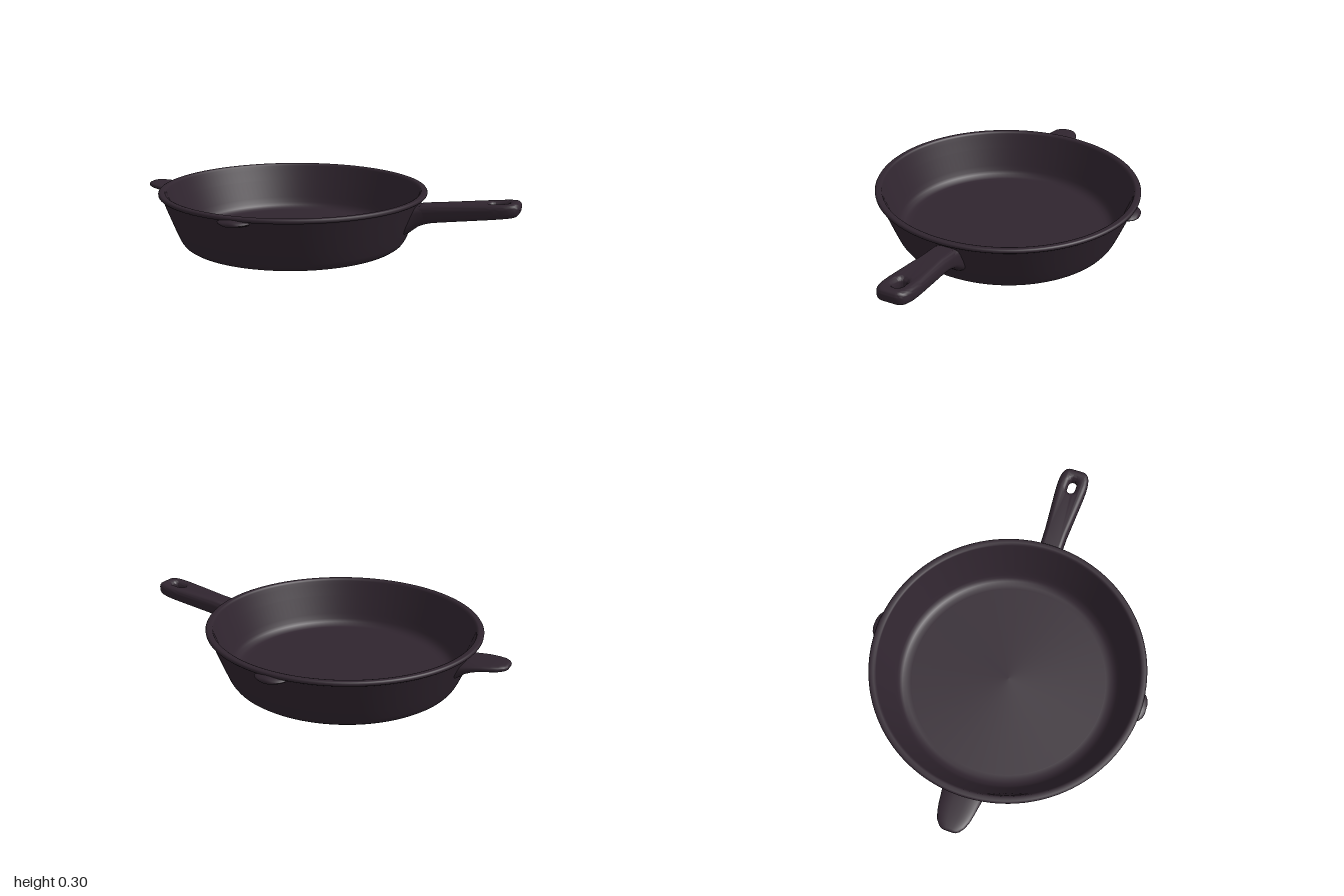
import * as THREE from 'three';
import { toCreasedNormals } from 'three/addons/utils/BufferGeometryUtils.js';

const castIron = new THREE.MeshStandardMaterial({ color: 0x30252f });
castIron.name = 'castIron';

const wallRadius = (y) => 0.575 + 0.36 * y;

function addPart(parent, name, geometry, angle = 0) {
  const mesh = new THREE.Mesh(geometry, castIron);
  mesh.name = name;
  mesh.rotation.y = angle;
  parent.add(mesh);
}

// Loft pointing away from the pan centre; sections are [radius, bottom, top, halfWidth].
// Points that would fall inside the pan are held just under the wall surface.
function loft(sections, power = 0.75, sides = 32) {
  const pos = [], index = [];
  const soft = (v) => Math.sign(v) * Math.abs(v) ** power;
  for (const [r, bottom, top, halfWidth] of sections) {
    for (let j = 0; j < sides; j++) {
      const a = (j / sides) * Math.PI * 2;
      const z = halfWidth * soft(Math.cos(a));
      const y = (top + bottom) / 2 + ((top - bottom) / 2) * soft(Math.sin(a));
      const wall = Math.sqrt(wallRadius(y) ** 2 - z * z) - 0.008;
      pos.push(Math.max(r, wall), y, z);
    }
  }
  const last = sections.length - 1;
  for (let i = 0; i < last; i++) {
    for (let j = 0; j < sides; j++) {
      const k = (j + 1) % sides;
      const a = i * sides + j, b = i * sides + k;
      index.push(a, a + sides, b, b, a + sides, b + sides);
    }
  }
  const [r, bottom, top] = sections[last];
  pos.push(r, (top + bottom) / 2, 0);
  const centre = (last + 1) * sides;
  for (let j = 0; j < sides; j++) {
    index.push(centre, last * sides + ((j + 1) % sides), last * sides + j);
  }
  const g = new THREE.BufferGeometry();
  g.setAttribute('position', new THREE.Float32BufferAttribute(pos, 3));
  g.setIndex(index);
  g.computeVertexNormals();
  return g;
}

// Bowl: outer base, flared wall, rolled rim, inner wall, floor
function bowlGeometry() {
  const profile = [
    [0, 0], [0.52, 0], [0.54, 0.001], [0.556, 0.006], [0.57, 0.016], [0.58, 0.03], [0.588, 0.046],
    [0.61, 0.1], [0.648, 0.2], [0.665, 0.25], [0.669, 0.257],
    [0.679, 0.259], [0.684, 0.264], [0.685, 0.272], [0.681, 0.278], [0.675, 0.28],
    [0.66, 0.28], [0.652, 0.277], [0.648, 0.268], [0.642, 0.25],
    [0.62, 0.19], [0.585, 0.095], [0.574, 0.066], [0.565, 0.05], [0.55, 0.037], [0.53, 0.031],
    [0.505, 0.03], [0, 0.03],
  ].map(([x, y]) => new THREE.Vector2(x, y));
  return new THREE.LatheGeometry(profile, 128);
}

// Long handle: rounded plate with a hanging hole, sloped and tapered along its length
function handleGeometry() {
  const s = new THREE.Shape();
  s.moveTo(0.66, -0.06);
  s.lineTo(0.78, -0.062);
  s.lineTo(1.0, -0.078);
  s.bezierCurveTo(1.09, -0.084, 1.15, -0.08, 1.15, -0.03);
  s.lineTo(1.15, 0.03);
  s.bezierCurveTo(1.15, 0.08, 1.09, 0.084, 1.0, 0.078);
  s.lineTo(0.78, 0.062);
  s.lineTo(0.66, 0.06);
  s.closePath();
  const hole = new THREE.Path();
  hole.absarc(1.035, 0, 0.022, Math.PI / 2, Math.PI * 1.5, false);
  hole.absarc(1.07, 0, 0.022, -Math.PI / 2, Math.PI / 2, false);
  s.holes.push(hole);

  const bevel = 0.024;
  const g = new THREE.ExtrudeGeometry(s, {
    depth: 0.02, bevelEnabled: true, bevelThickness: 0.03, bevelSize: bevel,
    bevelOffset: -bevel, bevelSegments: 6, curveSegments: 12,
  });
  g.translate(0, 0, -0.01);
  g.rotateX(-Math.PI / 2);
  const p = g.attributes.position;
  for (let i = 0; i < p.count; i++) {
    const d = p.getX(i) - 0.66, t = p.getY(i) / 0.04;
    const bottom = 0.155 + 0.165 * d, top = 0.246 + 0.11 * d;
    p.setY(i, (top + bottom) / 2 + (t * (top - bottom)) / 2);
  }
  g.deleteAttribute('normal');
  return toCreasedNormals(g, 0.7);
}

export function createModel() {
  const model = new THREE.Group();
  model.name = 'fryingPan';
  const pan = new THREE.Group();
  pan.name = 'pan';
  pan.position.x = -0.15;
  model.add(pan);

  addPart(pan, 'bowl', bowlGeometry());
  addPart(pan, 'handle', handleGeometry());

  // Flared joint between the wall and the long handle
  addPart(pan, 'handleRoot', loft([
    [0.56, 0.09, 0.235, 0.078], [0.62, 0.1, 0.24, 0.075], [0.645, 0.12, 0.244, 0.069],
    [0.67, 0.14, 0.247, 0.064], [0.7, 0.154, 0.25, 0.061], [0.75, 0.168, 0.254, 0.058],
    [0.79, 0.182, 0.253, 0.05],
  ], 0.6));

  // Short helper grip opposite the long handle
  addPart(pan, 'helperGrip', loft([
    [0.56, 0.135, 0.235, 0.11], [0.64, 0.155, 0.237, 0.105], [0.67, 0.18, 0.24, 0.1],
    [0.7, 0.195, 0.243, 0.095], [0.74, 0.208, 0.247, 0.089], [0.78, 0.213, 0.25, 0.081],
    [0.815, 0.217, 0.252, 0.068], [0.838, 0.221, 0.251, 0.05], [0.848, 0.226, 0.247, 0.035],
    [0.85, 0.231, 0.242, 0.026],
  ]), Math.PI);

  // Pouring lips on both sides
  for (const side of [-1, 1]) {
    addPart(pan, side < 0 ? 'frontLip' : 'backLip', loft([
      [0.62, 0.225, 0.272, 0.08], [0.676, 0.23, 0.27, 0.076], [0.69, 0.233, 0.265, 0.066],
      [0.702, 0.235, 0.26, 0.048], [0.708, 0.238, 0.254, 0.03],
    ], 1.2), (side * Math.PI) / 2);
  }
  return model;
}
